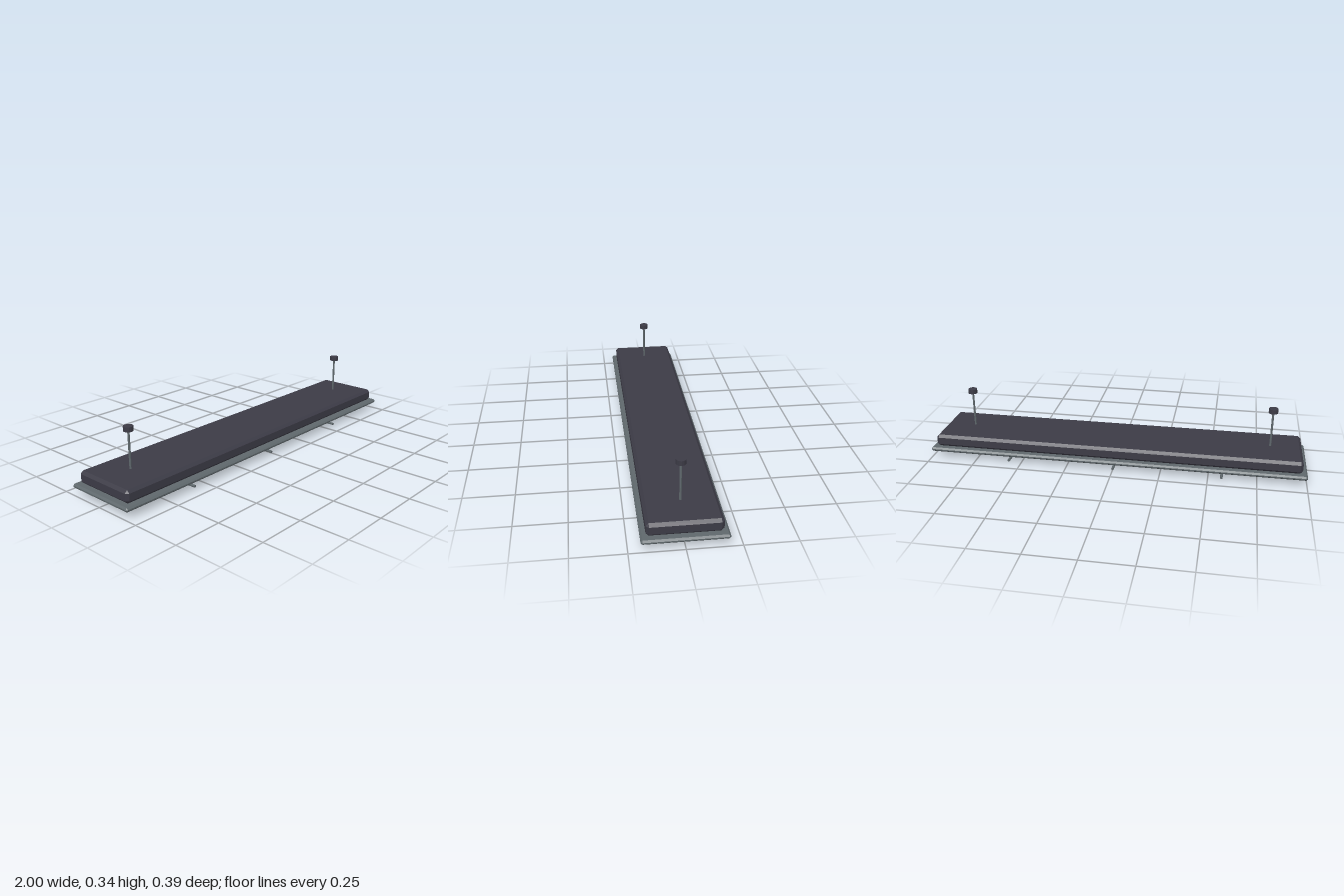
import * as THREE from 'three';
import { ConvexGeometry } from 'three/addons/geometries/ConvexGeometry.js';

function material(name, color) {
  const m = new THREE.MeshStandardMaterial({ color });
  m.name = name;
  return m;
}

// Box with every edge and corner chamfered by c
function chamferedBox(w, h, d, c) {
  const [x, y, z] = [w / 2, h / 2, d / 2];
  const points = [];
  for (const sx of [-1, 1]) for (const sy of [-1, 1]) for (const sz of [-1, 1]) {
    points.push(
      new THREE.Vector3(sx * x, sy * (y - c), sz * (z - c)),
      new THREE.Vector3(sx * (x - c), sy * y, sz * (z - c)),
      new THREE.Vector3(sx * (x - c), sy * (y - c), sz * z));
  }
  return new ConvexGeometry(points);
}

export function createModel() {
  const group = new THREE.Group();
  group.name = 'hangingTubeLamp';
  const dark = material('darkHousing', 0x3c3b46);
  const steel = material('greySteel', 0x5f686c);
  const cream = material('creamTube', 0xd6cab0);

  const add = (name, geometry, mat, x, y, z) => {
    const mesh = new THREE.Mesh(geometry, mat);
    mesh.name = name;
    mesh.position.set(x, y, z);
    group.add(mesh);
    return mesh;
  };
  const rod = (r, length, sides) =>
    new THREE.CylinderGeometry(r, r, length, sides).toNonIndexed();
  const flat = (g) => { g.computeVertexNormals(); return g; };

  // Housing and the wider rim below it
  add('housing', chamferedBox(1.95, 0.065, 0.342, 0.014), dark, 0, 0.0905, 0);
  add('rim', chamferedBox(2, 0.022, 0.39, 0.008), steel, 0, 0.047, 0);

  // Three light tubes along x
  const tube = flat(rod(0.0235, 1.8, 10)).rotateZ(Math.PI / 2);
  for (const z of [-0.095, 0, 0.095]) add('lightTube', tube, cream, 0, 0.028, z);

  // Guard bars across the tubes
  const bar = flat(rod(0.007, 0.352, 8)).rotateX(Math.PI / 2);
  for (const x of [-0.57, 0, 0.57]) add('guardBar', bar, steel, x, 0.007, 0);

  // Hanging rods with ceiling caps
  const hanger = flat(rod(0.0055, 0.189, 8));
  const cap = flat(rod(0.024, 0.024, 12));
  for (const x of [-0.81, 0.81]) {
    add('hangingRod', hanger, steel, x, 0.2215, 0);
    add('ceilingCap', cap, dark, x, 0.327, 0);
  }
  return group;
}
